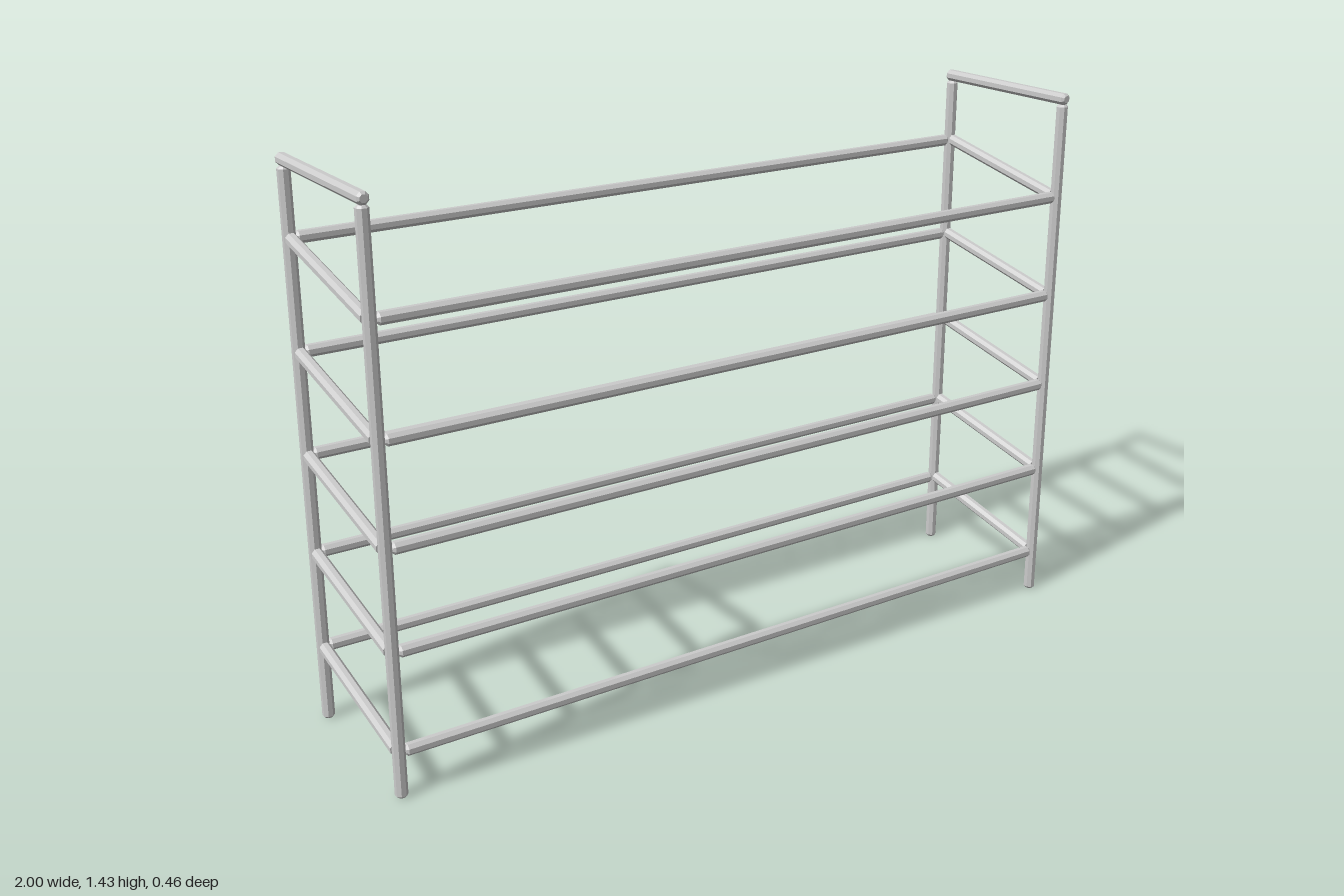
import * as THREE from 'three';

const HALF = 0.0145;                       // half thickness of every tube
const RADIUS = HALF / Math.cos(Math.PI / 8);
const POST_X = 1 - HALF;
const POST_Z = 0.217;

// Octagonal tube along y, flats facing the axes, with chamfered closed ends
function tubeGeometry(length, chamfer = 0.006) {
  const h = length / 2;
  const profile = [
    [0, -h], [RADIUS - chamfer, -h], [RADIUS, -h + chamfer],
    [RADIUS, h - chamfer], [RADIUS - chamfer, h], [0, h],
  ].map(([x, y]) => new THREE.Vector2(x, y));
  return new THREE.LatheGeometry(profile, 8, Math.PI / 8);
}

// Octagonal tube along z, sheared in y so that both ends stay vertical
function slopedGeometry(length, rise) {
  const geo = new THREE.CylinderGeometry(RADIUS, RADIUS, length, 8, 1, false, Math.PI / 8);
  geo.rotateX(Math.PI / 2);
  const p = geo.attributes.position;
  for (let i = 0; i < p.count; i++) p.setY(i, p.getY(i) - (rise * p.getZ(i)) / length);
  geo.computeVertexNormals();
  return geo;
}

export function createModel() {
  const rack = new THREE.Group();
  rack.name = 'shoeRack';
  const material = new THREE.MeshStandardMaterial({ color: 0xcccccc, flatShading: true });

  function add(name, geometry, x, y, z) {
    const mesh = new THREE.Mesh(geometry, material);
    mesh.name = name;
    mesh.position.set(x, y, z);
    rack.add(mesh);
  }

  const postHeight = 1.402;
  const post = tubeGeometry(postHeight);
  const topBar = tubeGeometry(0.463).rotateX(Math.PI / 2);
  const rail = tubeGeometry(1.942).rotateZ(Math.PI / 2);
  const rise = 0.08;
  const sideBar = slopedGeometry(0.405, rise);

  // End frames: two posts and a top bar on each side
  for (const side of [-1, 1]) {
    const label = side > 0 ? 'left' : 'right';
    add(label + 'FrontPost', post, side * POST_X, postHeight / 2, POST_Z);
    add(label + 'BackPost', post, side * POST_X, postHeight / 2, -POST_Z);
    add(label + 'TopBar', topBar, side * POST_X, postHeight + HALF, 0);
  }

  // Sloping shelves: front and back rail plus a tilted bar at each end
  [0.158, 0.412, 0.666, 0.922, 1.195].forEach((y, i) => {
    add('frontRail' + (i + 1), rail, 0, y - rise / 2, POST_Z);
    add('backRail' + (i + 1), rail, 0, y + rise / 2, -POST_Z);
    add('leftSlopedBar' + (i + 1), sideBar, POST_X, y, 0);
    add('rightSlopedBar' + (i + 1), sideBar, -POST_X, y, 0);
  });

  return rack;
}
